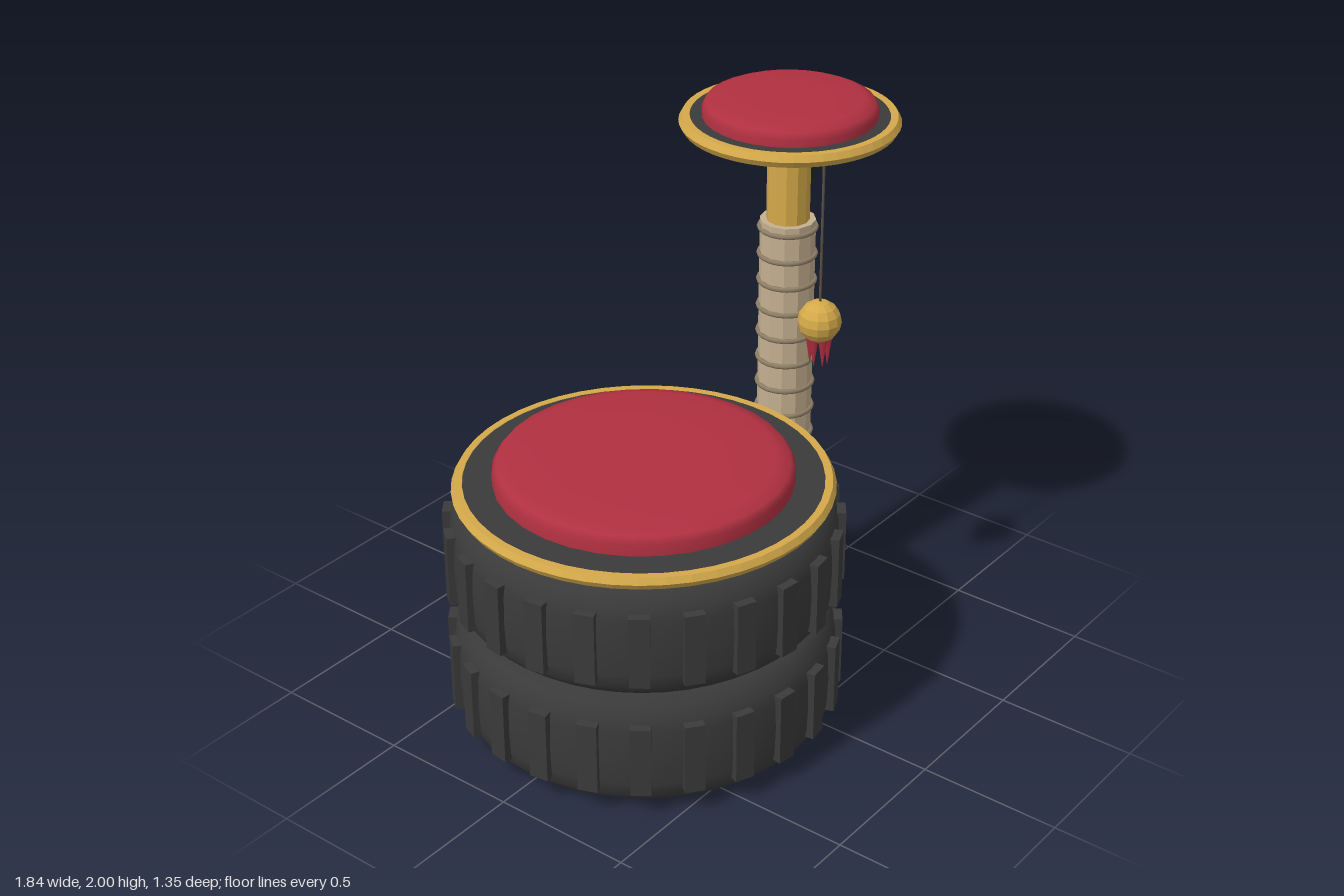
import * as THREE from 'three';

const mat = (name, color, flat = false) => {
  const m = new THREE.MeshStandardMaterial({ color, flatShading: flat });
  m.name = name;
  return m;
};

export function createModel() {
  const rubber = mat('rubber', 0x3a3a3a);
  const gold = mat('gold', 0xd4a94a, true);
  const red = mat('redFabric', 0xb03040);
  const rope = mat('rope', 0xc4b090, true);
  const coil = mat('ropeCoil', 0x8f7f66);
  const cord = mat('cord', 0x5c5044);

  const root = new THREE.Group();
  root.name = 'tyreCatTree';

  const add = (parent, name, geometry, material, x = 0, y = 0, z = 0) => {
    const mesh = new THREE.Mesh(geometry, material);
    mesh.name = name;
    mesh.position.set(x, y, z);
    parent.add(mesh);
    return mesh;
  };
  const lathe = (pts, seg) =>
    new THREE.LatheGeometry(pts.map(([r, y]) => new THREE.Vector2(r, y)), seg);
  const ring = (radius, tube, sides, seg) =>
    new THREE.TorusGeometry(radius, tube, sides, seg).rotateX(Math.PI / 2);

  // Padded platform: dark board, gold edge and red cushion
  const platform = (name, x, y, radius, cushionRadius, cushionTop, inset) => {
    const g = new THREE.Group();
    g.name = name;
    g.position.set(x, y, 0);
    add(g, 'board', new THREE.CylinderGeometry(radius, radius, 0.04, 48), rubber);
    add(g, 'edgeTrim', ring(radius, 0.025, 6, 48), gold);
    const t = cushionTop - y;
    add(g, 'cushion', lathe([
      [cushionRadius, 0], [cushionRadius, t - 0.04], [cushionRadius - inset * 0.25, t - 0.018],
      [cushionRadius - inset, t - 0.003], [cushionRadius * 0.5, t], [0, t],
    ], 32), red);
    root.add(g);
  };

  // Two stacked hollow tyres with tread blocks
  const tyreX = -0.25;
  const tyreProfile = [
    [0.48, 0.04], [0.53, 0.005], [0.585, 0], [0.615, 0.025], [0.643, 0.06], [0.653, 0.11],
    [0.657, 0.21], [0.653, 0.31], [0.643, 0.36], [0.615, 0.395], [0.585, 0.42],
    [0.53, 0.415], [0.48, 0.38], [0.48, 0.21], [0.48, 0.04],
  ];
  const treadGeometry = new THREE.BoxGeometry(0.068, 0.26, 0.05);
  for (let row = 0; row < 2; row++) {
    const tyre = new THREE.Group();
    tyre.name = row ? 'upperTyre' : 'lowerTyre';
    tyre.position.set(tyreX, 0.01 + row * 0.425, 0);
    add(tyre, 'tyreBody', lathe(tyreProfile, 48), rubber);
    for (let i = 0; i < 24; i++) {
      const a = ((i + 0.5) / 24) * Math.PI * 2;
      const tread = add(tyre, 'treadBlock', treadGeometry, rubber,
        Math.sin(a) * 0.651, 0.212, Math.cos(a) * 0.651);
      tread.rotation.y = a;
    }
    root.add(tyre);
  }
  add(root, 'bottomRing', ring(0.56, 0.012, 6, 48), gold, tyreX, 0.0115, 0);
  platform('tyreSeat', tyreX, 0.881, 0.617, 0.505, 0.982, 0.065);

  // Post with foot, rope sleeve and raised coils
  const postX = 0.545;
  add(root, 'postFoot', new THREE.CylinderGeometry(0.155, 0.155, 0.025, 24), gold, postX, 0.028, 0);
  add(root, 'post', new THREE.CylinderGeometry(0.075, 0.075, 1.87, 12), gold, postX, 0.965, 0);
  add(root, 'ropeSleeve', new THREE.CylinderGeometry(0.097, 0.097, 1.36, 12), rope, postX, 0.875, 0);
  const coilGeometry = ring(0.098, 0.009, 6, 20);
  for (let i = 0; i < 14; i++)
    add(root, 'ropeCoil', coilGeometry, coil, postX, 0.235 + i * 0.0993, 0);
  platform('topPerch', postX, 1.915, 0.35, 0.297, 2, 0.045);

  // Hanging toy: cord, ball and tassel
  const toy = new THREE.Group();
  toy.name = 'hangingToy';
  toy.position.set(0.365, 1.315, 0.267);
  add(toy, 'toyCord', new THREE.CylinderGeometry(0.005, 0.005, 0.53, 6), cord, 0, 0.325, 0);
  add(toy, 'toyBall', new THREE.SphereGeometry(0.075, 12, 8), gold);
  const strand = new THREE.ConeGeometry(0.018, 0.11, 6).rotateX(Math.PI);
  for (let i = 0; i < 6; i++) {
    const a = (i / 6) * Math.PI * 2;
    add(toy, 'tasselStrand', strand, red, Math.cos(a) * 0.029, -0.11, Math.sin(a) * 0.03);
  }
  root.add(toy);

  return root;
}
